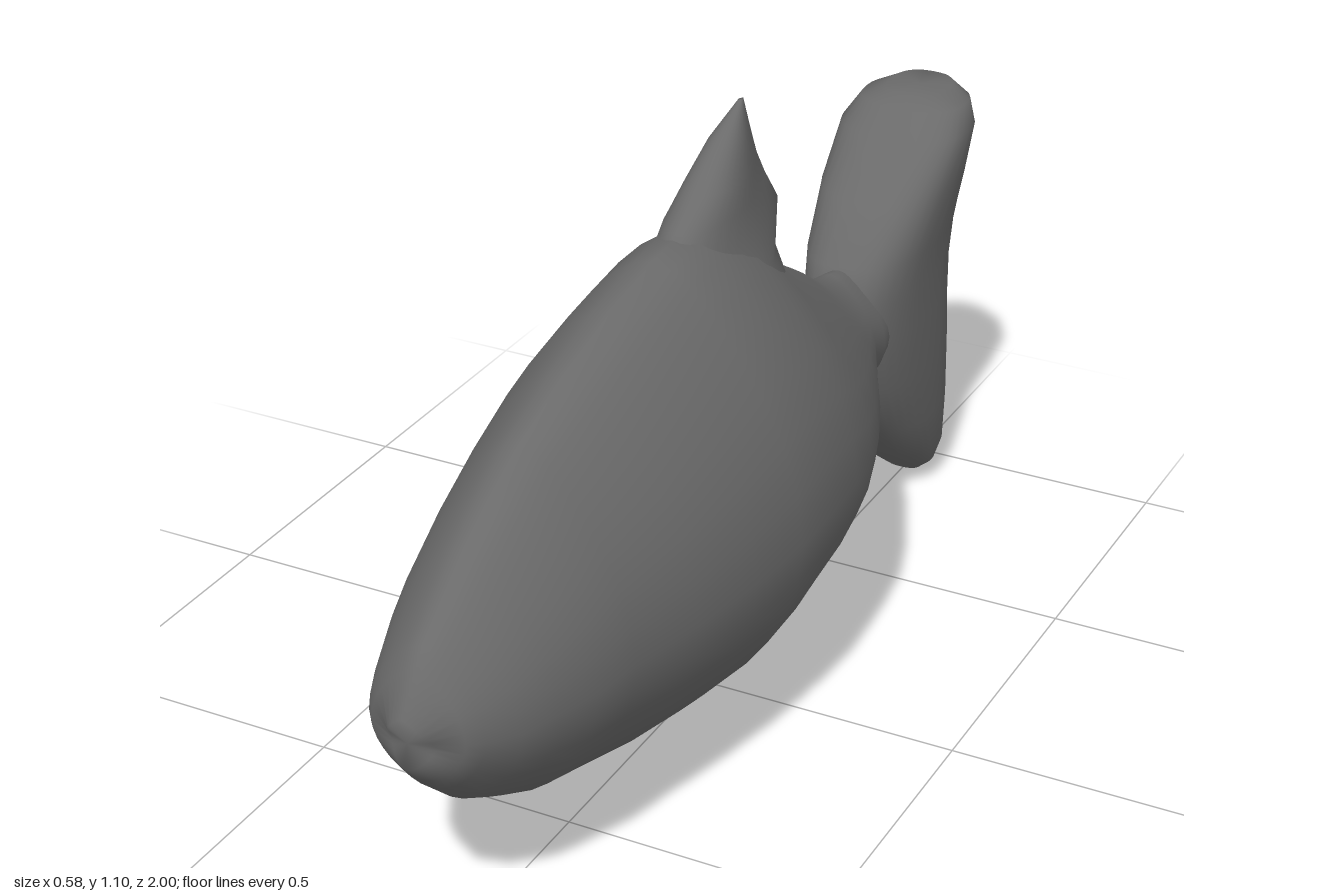
import * as THREE from 'three';

const SEG = 32;

// Skins a list of closed rings (arrays of Vector3) and caps both ends with a fan.
function loft(name, rings, material) {
  const pos = [], index = [];
  rings.forEach(r => r.forEach(p => pos.push(p.x, p.y, p.z)));
  for (let i = 0; i < rings.length - 1; i++) {
    for (let j = 0; j < SEG; j++) {
      const k = (j + 1) % SEG;
      const a = i * SEG + j, b = i * SEG + k, c = a + SEG, d = b + SEG;
      index.push(a, c, b, b, c, d);
    }
  }
  [0, rings.length - 1].forEach((i, end) => {
    const centre = new THREE.Vector3();
    rings[i].forEach(p => centre.addScaledVector(p, 1 / SEG));
    const n = pos.length / 3;
    pos.push(centre.x, centre.y, centre.z);
    for (let j = 0; j < SEG; j++) {
      const a = i * SEG + j, b = i * SEG + (j + 1) % SEG;
      if (end) index.push(n, b, a); else index.push(n, a, b);
    }
  });
  const geo = new THREE.BufferGeometry();
  geo.setAttribute('position', new THREE.Float32BufferAttribute(pos, 3));
  geo.setIndex(index);
  geo.computeVertexNormals();
  const mesh = new THREE.Mesh(geo, material);
  mesh.name = name;
  return mesh;
}

// Upright body section: pinched toward a rounded back, fuller belly, dented at the mouth.
function bodyRing([z, bottom, top, w]) {
  const mid = bottom + (top - bottom) * 0.44;
  return Array.from({ length: SEG }, (_, j) => {
    const a = (j / SEG) * Math.PI * 2, v = Math.sin(a);
    const x = w * Math.cos(a) * (1 - (v > 0 ? 0.38 : 0.2) * v * v);
    const y = mid + v * (v > 0 ? top - mid : mid - bottom);
    const dent = z > 0.99 ? 0.03 * Math.exp(-(((y - 0.445) / 0.03) ** 2)) : 0;
    return new THREE.Vector3(x, y, z - dent);
  });
}

// Level fin section between a front and a rear z; taper narrows the rear.
function finRing([y, front, rear, w], power, taper) {
  const f = v => Math.sign(v) * Math.pow(Math.abs(v), 2 / power);
  return Array.from({ length: SEG }, (_, j) => {
    const a = (j / SEG) * Math.PI * 2, u = f(Math.cos(a)), v = f(Math.sin(a));
    return new THREE.Vector3(u * w * (1 + taper * v), y, (front + rear) / 2 + v * (front - rear) / 2);
  });
}

export function createModel() {
  const group = new THREE.Group();
  group.name = 'fish';
  const material = new THREE.MeshStandardMaterial({ color: 0x6a6a6a });

  // Body: z, bottom, top, half width
  const body = [
    [1.0, 0.41, 0.505, 0.04], [0.955, 0.37, 0.57, 0.085], [0.93, 0.34, 0.6, 0.105],
    [0.87, 0.285, 0.645, 0.135], [0.8, 0.245, 0.7, 0.16], [0.72, 0.205, 0.75, 0.185],
    [0.63, 0.18, 0.8, 0.205], [0.48, 0.14, 0.855, 0.24], [0.33, 0.112, 0.9, 0.27],
    [0.18, 0.087, 0.93, 0.284], [0.08, 0.1, 0.94, 0.29], [-0.05, 0.125, 0.9, 0.28],
    [-0.15, 0.16, 0.83, 0.264], [-0.25, 0.205, 0.755, 0.232], [-0.36, 0.26, 0.69, 0.185],
    [-0.47, 0.315, 0.615, 0.13], [-0.53, 0.35, 0.605, 0.1], [-0.58, 0.345, 0.595, 0.096],
    [-0.64, 0.37, 0.57, 0.085], [-0.72, 0.4, 0.52, 0.05],
  ];
  group.add(loft('body', body.map(bodyRing), material));

  // Tail fin: y, front z, rear z, half width
  const tail = [
    [0.002, -0.915, -0.93, 0.012], [0.01, -0.9, -0.945, 0.035], [0.035, -0.87, -0.962, 0.062],
    [0.09, -0.8, -0.968, 0.085], [0.2, -0.68, -0.97, 0.1], [0.335, -0.58, -0.968, 0.108],
    [0.45, -0.55, -0.96, 0.11], [0.53, -0.55, -0.955, 0.112], [0.6, -0.57, -0.96, 0.116],
    [0.7, -0.66, -0.972, 0.126], [0.79, -0.775, -0.985, 0.128], [0.83, -0.83, -0.997, 0.105],
    [0.848, -0.86, -1.0, 0.06],
  ];
  group.add(loft('tailFin', tail.map(r => finRing(r, 2.5, 0)), material));

  // Back fin, flaring into the back: y, front z, rear z, half width
  const dorsal = [
    [0.7, 0.15, -0.27, 0.17], [0.76, 0.15, -0.25, 0.135], [0.82, 0.15, -0.235, 0.1],
    [0.88, 0.15, -0.275, 0.07], [0.945, 0.1, -0.225, 0.056], [0.99, 0.03, -0.195, 0.046],
    [1.05, -0.05, -0.17, 0.028], [1.1, -0.14, -0.155, 0.004],
  ];
  group.add(loft('backFin', dorsal.map(r => finRing(r, 1.9, 0.3)), material));

  return group;
}
